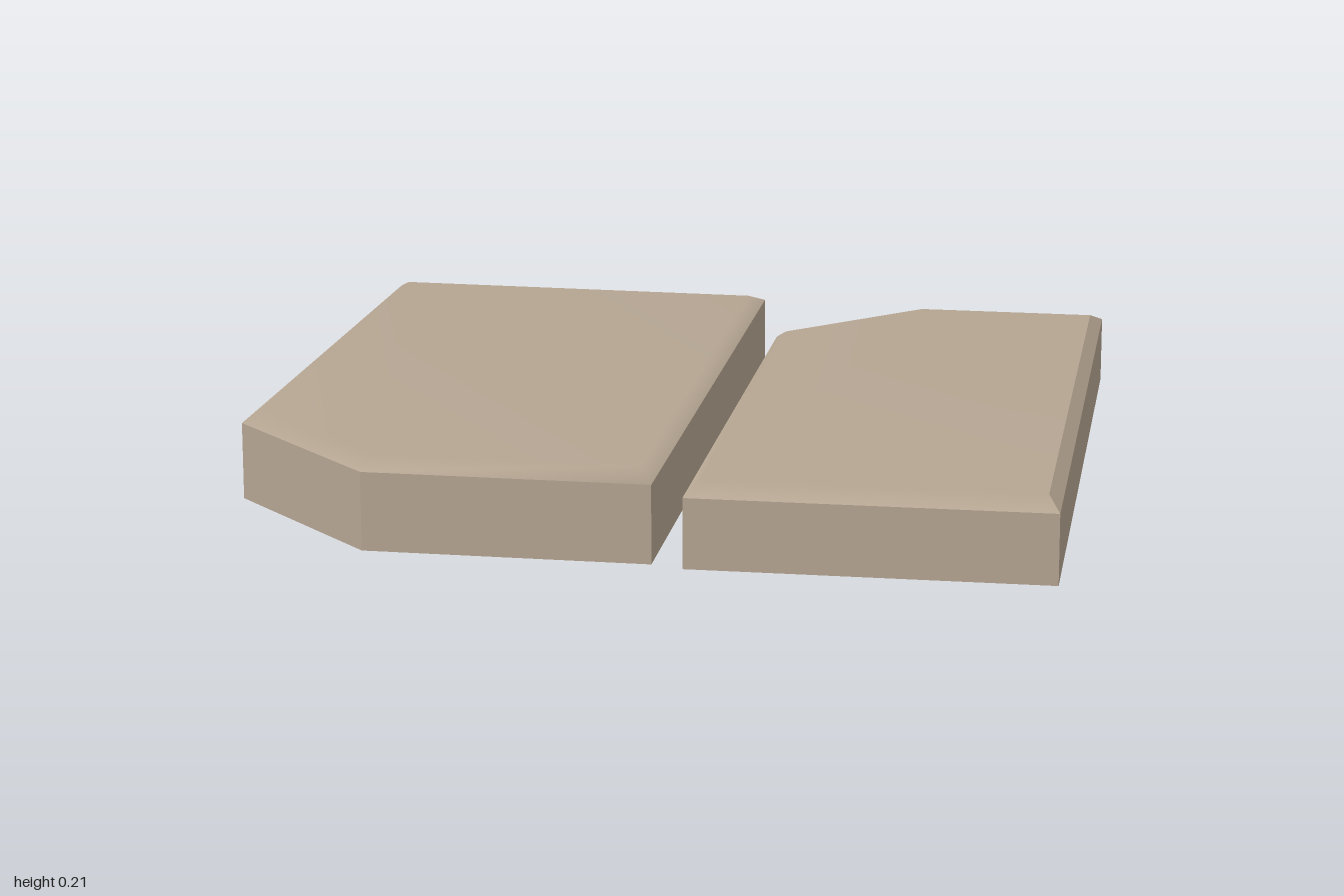
import * as THREE from 'three';

const stone = new THREE.MeshStandardMaterial({ color: 0xb5a592, side: THREE.DoubleSide });
stone.name = 'warm grey stone';

function mesh(name, points, index, flat) {
  let geo = new THREE.BufferGeometry();
  geo.setAttribute('position', new THREE.Float32BufferAttribute(points.flat(), 3));
  geo.setIndex(index);
  if (flat) geo = geo.toNonIndexed();
  geo.computeVertexNormals();
  const m = new THREE.Mesh(geo, stone);
  m.name = name;
  return m;
}

// Quads joining a lower ring (0..n-1) to an upper ring (n..2n-1), facing outwards
function band(n, edges) {
  return edges.flatMap((i) => {
    const j = (i + 1) % n;
    return [i, i + n, j, j, i + n, j + n];
  });
}

// Hollow slab, open below: flat walls, softly shaded bevel and top
function slab(name, outline, wallY, topY, centreX, sharpEdges) {
  const n = outline.length;
  const inset = 0.93;
  const ring = (y, s) => outline.map(([x, z]) => [centreX + (x - centreX) * s, y, z * s]);
  const edges = outline.map((_, i) => i);
  const group = new THREE.Group();
  group.name = name;

  group.add(mesh('walls', [...ring(0, 1), ...ring(wallY, 1)], band(n, edges), true));

  const upper = [...ring(wallY, 1), ...ring(topY, inset)];
  const top = band(n, edges.filter((i) => !sharpEdges.includes(i)));
  for (let i = 1; i < n - 1; i++) top.push(n, n + i + 1, n + i);
  group.add(mesh('top', upper, top, false));
  if (sharpEdges.length) group.add(mesh('sharpBevel', upper, band(n, sharpEdges), true));
  return group;
}

export function createModel() {
  const model = new THREE.Group();
  model.name = 'pavingSlabs';
  // Larger slab, its front corner cut off
  model.add(slab('largeSlab',
    [[-0.99, -1], [0.03, -0.98], [0.07, 0.97], [-0.6, 0.97], [-0.99, 0.58]],
    0.185, 0.21, -0.46, []));
  // Smaller, lower slab, its back corner cut off
  model.add(slab('smallSlab',
    [[0.46, -0.985], [0.945, -0.985], [0.985, 0.985], [0.145, 0.995], [0.115, -0.63]],
    0.165, 0.19, 0.55, [1]));
  return model;
}
